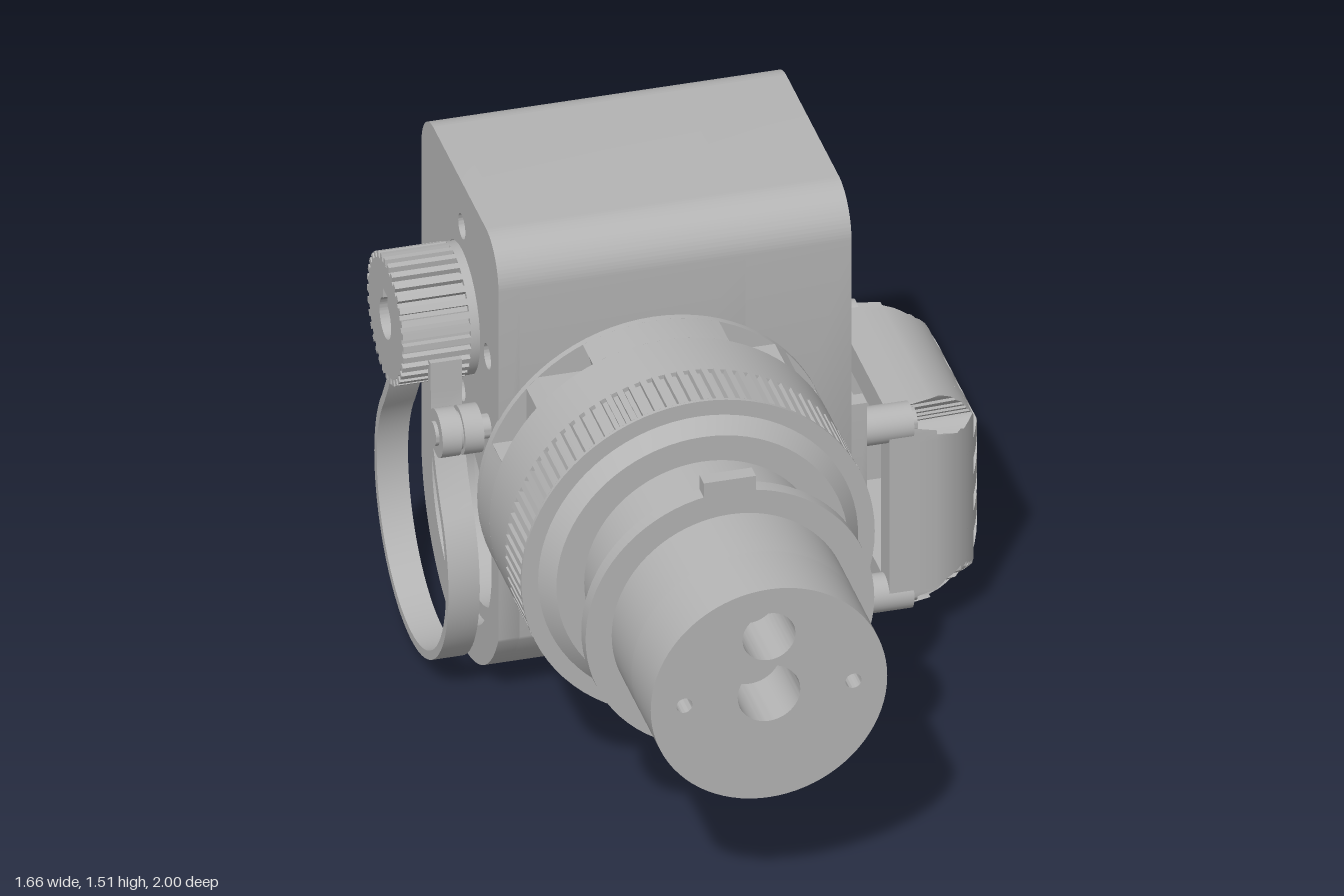
import * as THREE from 'three';
import { toCreasedNormals } from 'three/addons/utils/BufferGeometryUtils.js';

const PI = Math.PI;
const CA = 0.58, CY = 0.42;          // axis of the lower bore (depth = -z, height)
const LX = -0.165, LY = 0.72;        // axis of the lens barrel

export function createModel() {
  const group = new THREE.Group();
  const grey = new THREE.MeshStandardMaterial({ color: 0xb4b4b4, side: THREE.DoubleSide });
  grey.name = 'grey plastic';

  const add = (name, geo, x = 0, y = 0, z = 0) => {
    const mesh = new THREE.Mesh(toCreasedNormals(geo, 0.5), grey);
    mesh.name = name;
    mesh.position.set(x, y, z);
    group.add(mesh);
    return mesh;
  };
  const extrude = (shape, depth) =>
    new THREE.ExtrudeGeometry(shape, { depth, bevelEnabled: false, curveSegments: 40 });
  // side profile (depth, height) extruded from x0 to x1
  const slab = (name, shape, x0, x1) => add(name, extrude(shape, x1 - x0).rotateY(PI / 2), x0);
  // front profile extruded from z0 to z1 around the lens axis
  const disc = (name, shape, z0, z1) => add(name, extrude(shape, z1 - z0), LX, LY, z0);
  const circle = (x, y, r, Type = THREE.Path) => new Type().absarc(x, y, r, 0, PI * 2, false);
  const rect = (x0, y0, x1, y1) => new THREE.Path(
    [[x0, y0], [x1, y0], [x1, y1], [x0, y1]].map(p => new THREE.Vector2(...p)));
  const rod = (name, r, x0, x1, y, z, sides = 32) =>
    add(name, new THREE.CylinderGeometry(r, r, x1 - x0, sides).rotateZ(PI / 2), (x0 + x1) / 2, y, z);
  const gear = (cx, cy, r0, r1, n) => {
    const pts = [];
    for (let i = 0; i < n; i++) {
      [[0, r0], [0.4, r0], [0.45, r1], [0.95, r1]].forEach(([f, r]) => {
        const t = (i + f) / n * PI * 2;
        pts.push(new THREE.Vector2(cx + r * Math.cos(t), cy + r * Math.sin(t)));
      });
    }
    return new THREE.Shape(pts);
  };
  // skin through closed rows of points
  const loft = (name, rows) => {
    const n = rows[0].length, index = [];
    for (let i = 0; i < rows.length - 1; i++) for (let j = 0; j < n; j++) {
      const a = i * n + j, b = i * n + (j + 1) % n;
      index.push(a, b, a + n, b, b + n, a + n);
    }
    const geo = new THREE.BufferGeometry();
    geo.setAttribute('position', new THREE.Float32BufferAttribute(rows.flat(2), 3));
    geo.setIndex(index);
    return add(name, geo);
  };

  // housing: three hollow slabs side by side
  const housing = holes => {
    const s = new THREE.Shape();
    s.absarc(CA, CY, 0.42, PI + 0.44, PI * 2, false);
    s.absarc(0.87, 1.38, 0.13, 0, PI / 2, false);
    s.absarc(0.33, 1.38, 0.13, PI / 2, PI, false);
    s.closePath();
    s.holes = holes;
    return s;
  };
  const bore = () => circle(CA, CY, 0.31);
  const screwHoles = [0, 1, 2, 3].map(i =>
    circle(CA + 0.265 * Math.cos(i * PI / 2), 1.1 + 0.265 * Math.sin(i * PI / 2), 0.037));
  slab('motorWall', housing([bore(), circle(CA, 1.1, 0.19), ...screwHoles]), -0.61, -0.55);
  slab('housingMiddle', housing([bore(), circle(CA, 1.1, 0.318)]), -0.55, 0.1);
  slab('housingMouth', housing([bore(), rect(0.26, 0.78, 0.9, 1.42)]), 0.1, 0.405);

  // lower end flange
  const flange = new THREE.Shape();
  flange.absarc(CA, CY, 0.42, PI + 0.44, PI * 2, false);
  [[1, 0.84], [0.88, 0.84], [0.83, 0.78], [0.29, 0.78], [0.25, 0.84], [0.2, 0.84]]
    .forEach(p => flange.lineTo(...p));
  flange.closePath();
  flange.holes = [bore(), circle(0.235, 0.78, 0.024), circle(0.94, 0.78, 0.028), circle(CA, 0.05, 0.028)];
  slab('endFlange', flange, 0.405, 0.45);

  // bearing ring in the bore
  const bearing = circle(CA, CY, 0.312, THREE.Shape);
  bearing.holes = [circle(CA, CY, 0.265)];
  slab('bearingRing', bearing, -0.57, -0.5);

  // drive pulley with keyed hole
  const keyed = () => {
    const p = new THREE.Path();
    p.absarc(CA, 1.1, 0.06, PI / 2 + 0.4, PI * 2.5 - 0.4, false);
    p.lineTo(CA + 0.023, 1.19 - 0.005);
    p.lineTo(CA - 0.023, 1.19 - 0.005);
    p.closePath();
    return p;
  };
  const pulley = gear(CA, 1.1, 0.172, 0.19, 32);
  pulley.holes = [keyed()];
  slab('drivePulley', pulley, -0.83, -0.635);
  const collar = circle(CA, 1.1, 0.188, THREE.Shape);
  collar.holes = [keyed()];
  slab('pulleyCollar', collar, -0.635, -0.6);

  // belt: teardrop loop open at the pulley
  const arm = [[0.185, 1.06], [0.188, 0.97], [0.19, 0.88], [0.215, 0.8], [0.25, 0.72]];
  const line = arm.map(([u, y]) => [u, y]);
  for (let i = 0; i <= 48; i++) {
    const t = 0.66 - (PI + 1.32) * i / 48;
    line.push([0.372 * Math.cos(t), CY + 0.372 * Math.sin(t)]);
  }
  [...arm].reverse().forEach(([u, y]) => line.push([-u, y]));
  const offset = d => line.map((p, i) => {
    const a = line[Math.max(i - 1, 0)], b = line[Math.min(i + 1, line.length - 1)];
    const l = Math.hypot(b[0] - a[0], b[1] - a[1]);
    return new THREE.Vector2(CA + p[0] - (b[1] - a[1]) / l * d, p[1] + (b[0] - a[0]) / l * d);
  });
  slab('belt', new THREE.Shape([...offset(0.013), ...offset(-0.013).reverse()]), -0.755, -0.665);

  // belt idlers
  for (const s of [-1, 1]) {
    const z = -CA + s * 0.275;
    rod('idlerOuter', 0.07, -0.76, -0.705, 0.88, z);
    rod('idlerGroove', 0.055, -0.71, -0.69, 0.88, z);
    rod('idlerInner', 0.07, -0.695, -0.64, 0.88, z);
    rod('idlerBolt', 0.035, -0.77, -0.6, 0.88, z);
  }

  // lens clamp: round base with screw pockets cut into its middle layer
  const clamp = new THREE.Shape();
  const notch = [[0.46, 0.2], [0.375, 0.18], [0.375, 0.338], [0.344, 0.37], [0.18, 0.37], [0.18, 0.468]];
  const clampPoints = [];
  for (let q = 0; q < 4; q++) {
    const arc = [];
    for (let i = 0; i <= 10; i++) {
      const t = -0.372 + 0.797 * i / 10;
      arc.push([0.505 * Math.cos(t), 0.505 * Math.sin(t)]);
    }
    [...arc, ...notch].forEach(([x, y]) =>
      clampPoints.push(new THREE.Vector2(x, y).rotateAround(new THREE.Vector2(), q * PI / 2)));
  }
  clamp.setFromPoints(clampPoints);
  const round = r => circle(0, 0, r, THREE.Shape);
  disc('clampBack', round(0.505), -0.205, -0.18);
  disc('clampPockets', clamp, -0.18, -0.075);
  disc('clampFront', round(0.505), -0.075, 0.095);
  disc('focusRing', gear(0, 0, 0.492, 0.508, 90), 0.095, 0.255);
  disc('focusRingLip', round(0.508), 0.255, 0.265);
  add('focusBevel', new THREE.CylinderGeometry(0.42, 0.46, 0.045, 80).rotateX(PI / 2), LX, LY, 0.2875);

  // barrel, with drilled front
  disc('barrel', round(0.34), 0.3, 0.8);
  const face = round(0.34);
  face.holes = [circle(0, 0, 0.09), circle(0, 0.185, 0.076), circle(-0.243, 0, 0.023), circle(0.243, 0, 0.023)];
  disc('barrelFront', face, 0.8, 1.0);
  disc('barrelFlange', round(0.415), 0.55, 0.595);
  add('flangeTab', new THREE.BoxGeometry(0.15, 0.085, 0.045), LX, LY + 0.411, 0.5725);

  // vent cover: domed square frame
  const H = 0.325, I = 0.235;
  const f = u => 0.62 + Math.sqrt(Math.max(0, 0.0441 - Math.max(0, Math.abs(u) - 0.12) ** 2));
  const height = (u, v) => {
    const a = Math.abs(u) - 0.28, b = Math.abs(v) - 0.28;
    return Math.hypot(a, b) < 0.047 || (a > 0 && b > 0) ? 0.6 : Math.min(f(u), f(v));
  };
  const at = (x, u, v) => [x, CY + v, -(CA + u)];
  const loop = (half, x) => {
    const pts = [], n = 40;
    for (let side = 0; side < 4; side++) for (let i = 0; i < n; i++) {
      const p = new THREE.Vector2(half, half * (2 * i / n - 1));
      const sum = Math.abs(p.x) + Math.abs(p.y);
      if (sum > 0.61) p.multiplyScalar(0.61 / sum);
      p.rotateAround(new THREE.Vector2(), side * PI / 2);
      pts.push(at(x ?? height(p.x, p.y), p.x, p.y));
    }
    return pts;
  };
  const frame = [loop(H, 0.53), loop(H, 0.6)];
  for (let i = 0; i <= 10; i++) frame.push(loop(H + (I - H) * i / 10));
  frame.push(loop(I, 0.53), loop(H, 0.53));
  loft('ventFrame', frame);

  // diagonal vent bars following the dome
  for (let k = -3; k <= 3; k++) {
    const s = k * 0.085, w = 0.023, reach = I * Math.SQRT2 - Math.abs(s) + 0.022, rows = [];
    for (let i = 0; i <= 24; i++) {
      const t = reach * (i / 12 - 1);
      const [u0, v0, u1, v1] = [t - s + w, t + s - w, t - s - w, t + s + w].map(c => c / Math.SQRT2);
      const h0 = height(u0, v0), h1 = height(u1, v1);
      rows.push([at(h0, u0, v0), at(h1, u1, v1), at(h1 - 0.05, u1, v1), at(h0 - 0.05, u0, v0)]);
    }
    loft('ventBar', rows);
  }

  // standoffs, screws and the lower screw channels
  for (const su of [-1, 1]) for (const sv of [-1, 1]) {
    const y = CY + sv * 0.275, z = -CA + su * 0.275;
    rod('standoff', 0.055, 0.4, 0.6, y, z);
    rod('screwHead', 0.036, 0.6, 0.615, y, z);
    if (sv < 0) {
      add('screwChannel', new THREE.CapsuleGeometry(0.036, 0.3, 8, 20).rotateZ(PI / 2), 0.296, y - 0.02, z + su * 0.01);
    }
  }
  return group;
}
